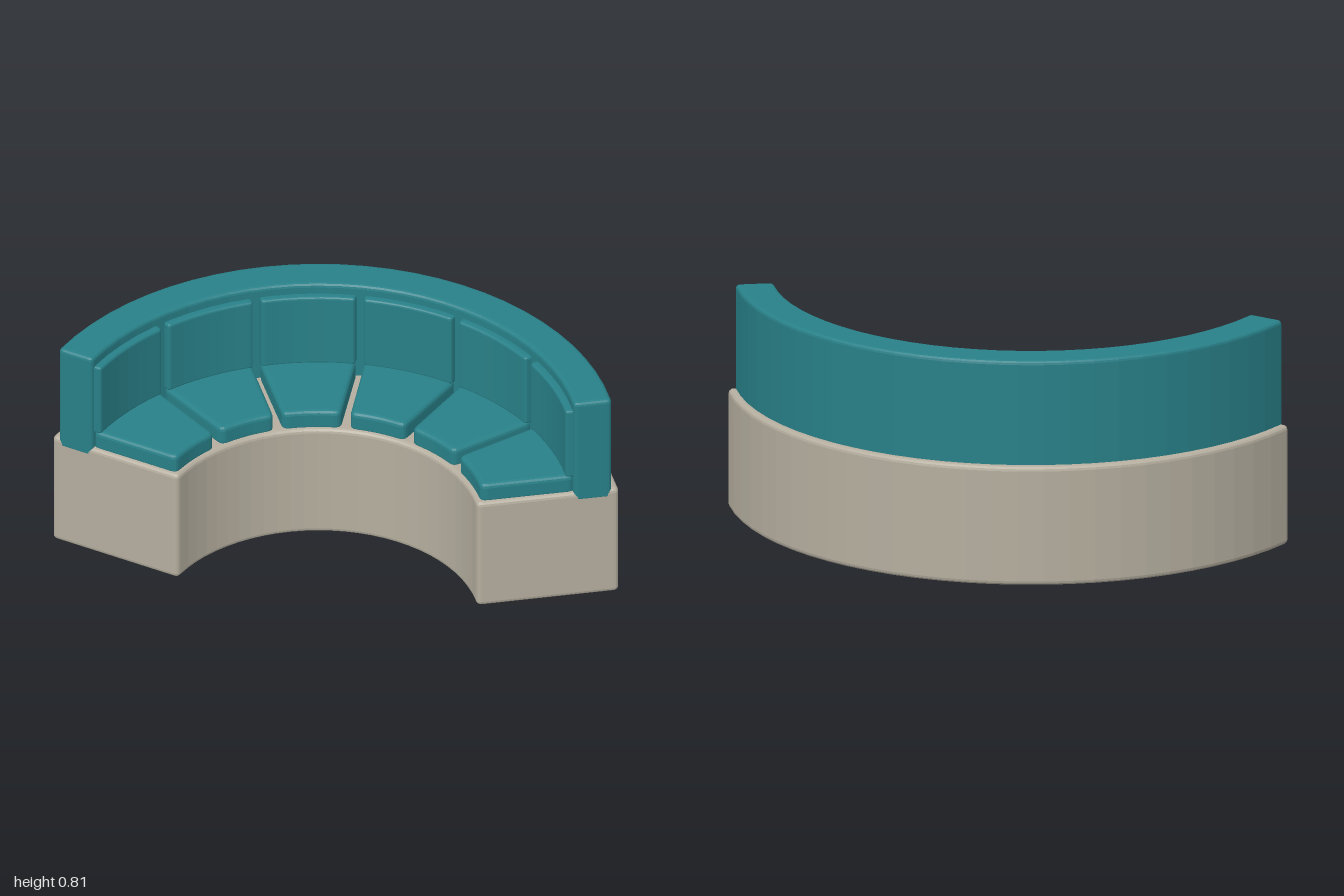
import * as THREE from 'three';

const CENTRE_Z = 0.628;                 // centre of all the arcs
const HALF = THREE.MathUtils.degToRad(70); // half of the sofa's sweep
const SEATS = 6;

const teal = new THREE.MeshStandardMaterial({ color: 0x288088 });
const stone = new THREE.MeshStandardMaterial({ color: 0xb5ae9f });

// Plan point at radius r and angle a from the back (+a towards +x)
const polar = (r, a) => new THREE.Vector2(r * Math.sin(a), r * Math.cos(a) - CENTRE_Z);

// Ring sector with parallel side gaps, rounded plan corners and bevelled rims
function sector({ r0, r1, a0, a1, y0, y1, gap = 0, corner, bevel, segments }) {
  const side = (r, s) => (s < 0 ? a0 + Math.asin(gap / r) : a1 - Math.asin(gap / r));
  const pts = [];

  const arc = (r, from, to) => {
    const trim = Math.sign(to - from) * corner / r;
    for (let i = 0; i <= segments; i++) {
      pts.push(polar(r, THREE.MathUtils.lerp(from + trim, to - trim, i / segments)));
    }
  };
  const round = (r, a, rNext) => {
    const start = pts[pts.length - 1];
    const end = polar(rNext, a);
    const curve = new THREE.QuadraticBezierCurve(start, polar(r, a), end);
    pts.push(...curve.getPoints(4).slice(1));
  };
  const roundIn = (r, a, rPrev, aNext) => {
    const curve = new THREE.QuadraticBezierCurve(polar(rPrev, a), polar(r, a), polar(r, aNext));
    pts.push(...curve.getPoints(4).slice(0, -1));
  };

  const inL = side(r0, -1), inR = side(r0, 1), outL = side(r1, -1), outR = side(r1, 1);
  arc(r0, inL, inR);
  round(r0, inR, r0 + corner);
  roundIn(r1, outR, r1 - corner, outR - corner / r1);
  arc(r1, outR, outL);
  round(r1, outL, r1 - corner);
  roundIn(r0, inL, r0 + corner, inL + corner / r0);

  const geometry = new THREE.ExtrudeGeometry(new THREE.Shape(pts), {
    depth: y1 - y0 - 2 * bevel,
    bevelEnabled: true,
    bevelSize: bevel,
    bevelThickness: bevel,
    bevelOffset: -bevel,
    bevelSegments: 3,
  });
  geometry.rotateX(-Math.PI / 2);
  geometry.translate(0, y0 + bevel, 0);
  return geometry;
}

export function createModel() {
  const sofa = new THREE.Group();
  sofa.name = 'curvedSofa';

  const add = (name, material, options) => {
    const mesh = new THREE.Mesh(sector(options), material);
    mesh.name = name;
    sofa.add(mesh);
  };

  // Solid plinth
  add('base', stone, {
    r0: 0.56, r1: 1.064, a0: -HALF, a1: HALF, y0: 0, y1: 0.433,
    corner: 0.02, bevel: 0.016, segments: 28,
  });

  // Backrest shell, sunk slightly into the plinth and flush with its ends
  add('backrest', teal, {
    r0: 0.903, r1: 1.038, a0: -HALF - 0.0005, a1: HALF + 0.0005, y0: 0.395, y1: 0.811,
    corner: 0.018, bevel: 0.014, segments: 28,
  });

  // One seat and one back cushion per place
  const step = (2 * HALF) / SEATS;
  for (let i = 0; i < SEATS; i++) {
    const a0 = -HALF + i * step;
    const a1 = a0 + step;
    add(`seatCushion${i + 1}`, teal, {
      r0: 0.576, r1: 0.91, a0, a1, y0: 0.42, y1: 0.498,
      gap: 0.015, corner: 0.026, bevel: 0.016, segments: 6,
    });
    add(`backCushion${i + 1}`, teal, {
      r0: 0.877, r1: 0.925, a0, a1, y0: 0.492, y1: 0.772,
      gap: 0.014, corner: 0.014, bevel: 0.01, segments: 6,
    });
  }

  return sofa;
}
